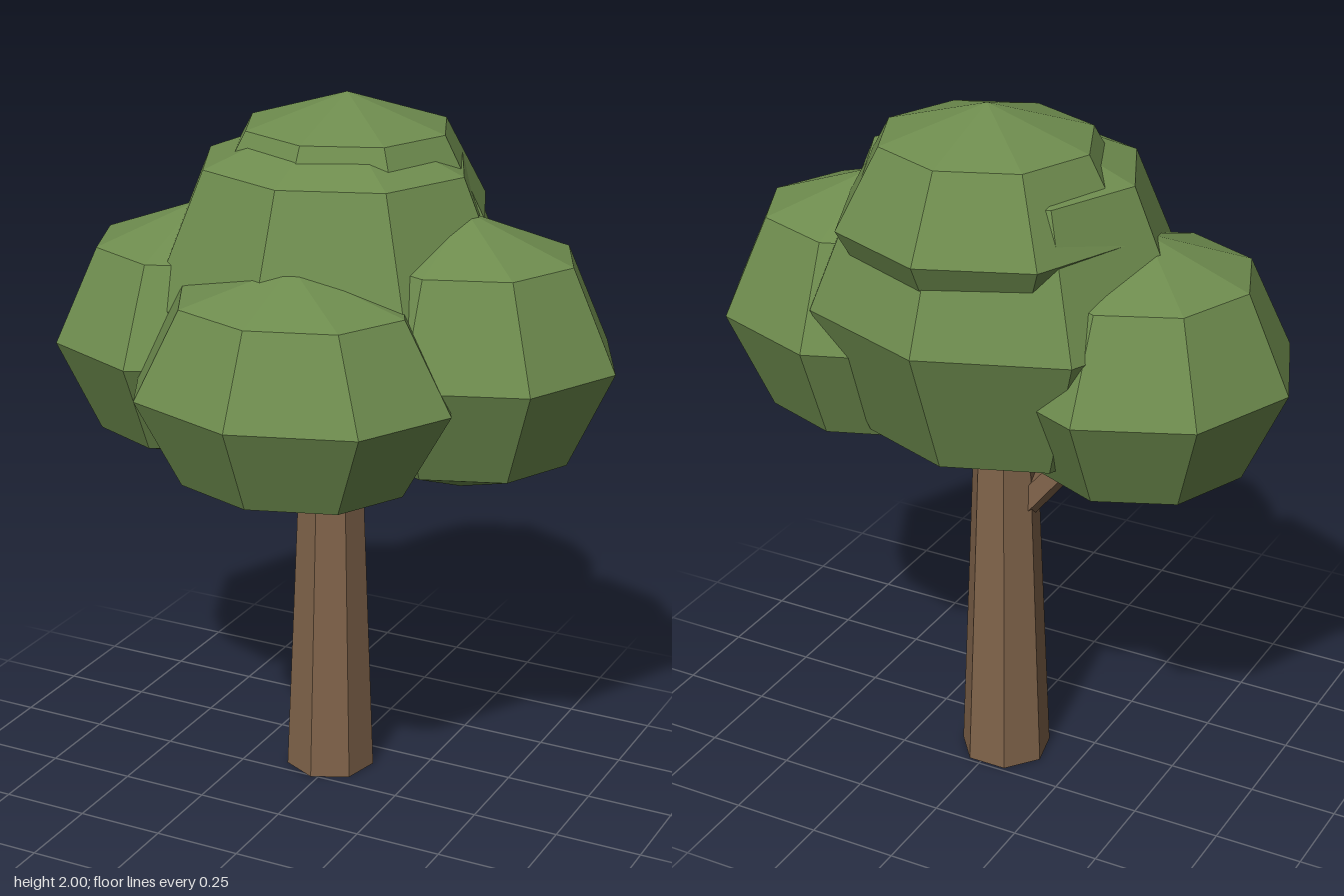
import * as THREE from 'three';

export function createModel() {
  const tree = new THREE.Group();
  tree.name = 'tree';

  const leafGreen = new THREE.MeshStandardMaterial({ color: 0x6e8c4e, flatShading: true });
  leafGreen.name = 'leaf green';
  const barkBrown = new THREE.MeshStandardMaterial({ color: 0x80634a, flatShading: true });
  barkBrown.name = 'bark brown';

  // Tapered seven-sided trunk, its top hidden in the leaves
  const trunk = new THREE.Mesh(new THREE.CylinderGeometry(0.086, 0.13, 1.1, 7), barkBrown);
  trunk.name = 'trunk';
  trunk.position.set(-0.02, 0.55, -0.122);
  tree.add(trunk);

  // Slanted branches reaching into the side clumps
  function addBranch(name, from, to) {
    const a = new THREE.Vector3(...from);
    const b = new THREE.Vector3(...to);
    const dir = b.clone().sub(a);
    const branch = new THREE.Mesh(new THREE.CylinderGeometry(0.035, 0.045, dir.length(), 5), barkBrown);
    branch.name = name;
    branch.position.copy(a).add(b).multiplyScalar(0.5);
    branch.quaternion.setFromUnitVectors(new THREE.Vector3(0, 1, 0), dir.normalize());
    tree.add(branch);
  }
  addBranch('rightBranch', [-0.04, 0.77, -0.12], [-0.36, 1.16, -0.1]);
  addBranch('leftBranch', [0.0, 0.89, -0.12], [0.28, 1.17, -0.12]);

  // Faceted leaf clumps: name, centre, radii
  const clumps = [
    ['mainLeaves', [-0.015, 1.45, -0.128], [0.545, 0.522, 0.492]],
    ['topLeaves', [-0.01, 1.69, -0.195], [0.415, 0.31, 0.4]],
    ['rightLeaves', [-0.413, 1.3, -0.08], [0.415, 0.375, 0.43]],
    ['leftLeaves', [0.38, 1.335, -0.125], [0.44, 0.393, 0.393]],
    ['frontLeaves', [0.04, 1.28, 0.235], [0.467, 0.347, 0.38]],
  ];
  const clumpShape = new THREE.SphereGeometry(1, 8, 4);
  for (const [name, centre, radii] of clumps) {
    const clump = new THREE.Mesh(clumpShape, leafGreen);
    clump.name = name;
    clump.position.set(...centre);
    clump.scale.set(...radii);
    tree.add(clump);
  }
  return tree;
}
